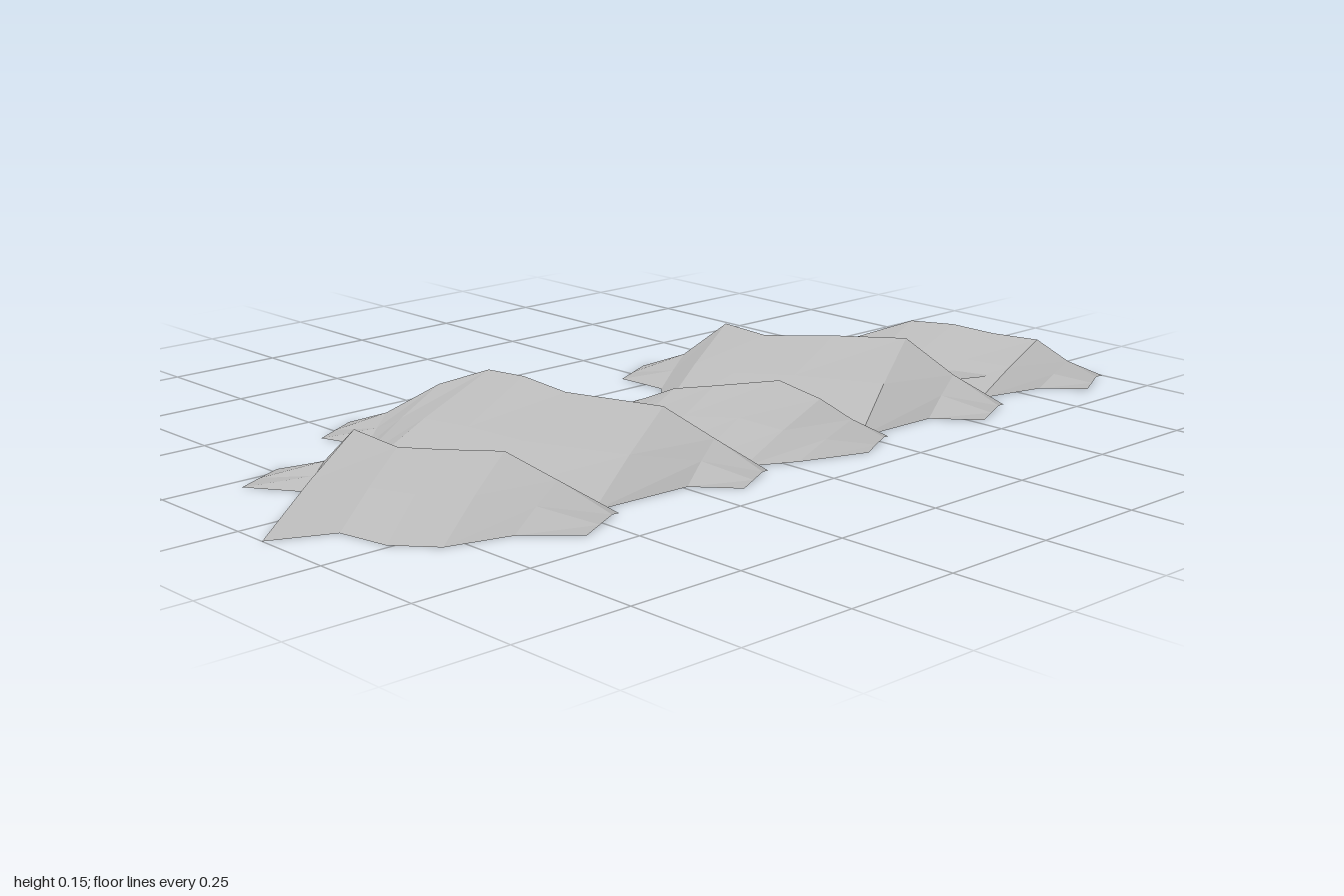
import * as THREE from 'three';

const stone = new THREE.MeshStandardMaterial({ color: 0xb8b8b8, flatShading: true, side: THREE.DoubleSide });
stone.name = 'light grey';

// Open ridge shell; each station is back foot (x, z), crest (x, y, z), front foot (x, z)
function ridge(name, stations) {
  const positions = [], index = [], across = 4;
  for (const [bx, bz, cx, cy, cz, fx, fz] of stations) {
    positions.push(bx, 0, bz, cx, cy, cz);
    // slight belly halfway down the long front slope
    positions.push((cx + fx) / 2, cy * 0.54, (cz + fz) / 2);
    positions.push(fx, 0, fz);
  }
  for (let i = 0; i < stations.length - 1; i++) {
    for (let j = 0; j < across - 1; j++) {
      const a = i * across + j, b = a + 1, c = a + across, d = c + 1;
      index.push(a, b, c, b, d, c);
    }
  }
  const geometry = new THREE.BufferGeometry();
  geometry.setAttribute('position', new THREE.Float32BufferAttribute(positions, 3));
  geometry.setIndex(index);
  const flat = geometry.toNonIndexed();
  flat.computeVertexNormals();
  const mesh = new THREE.Mesh(flat, stone);
  mesh.name = name;
  return mesh;
}

// Flat eight-sided plate hidden under a ridge
function innerPlate(x, z, radius) {
  const geometry = new THREE.CircleGeometry(radius, 8);
  geometry.rotateX(-Math.PI / 2);
  const mesh = new THREE.Mesh(geometry, stone);
  mesh.position.set(x, 0.03, z);
  mesh.name = 'innerPlate';
  return mesh;
}

export function createModel() {
  const group = new THREE.Group();
  group.name = 'rockRidges';

  group.add(ridge('rearRidge', [
    [-0.23, -0.70, -0.22, 0.005, -0.67, -0.17, -0.585],
    [-0.15, -0.755, -0.13, 0.035, -0.70, -0.10, -0.62],
    [-0.08, -0.80, -0.06, 0.065, -0.74, -0.05, -0.59],
    [0.01, -0.89, 0.01, 0.095, -0.785, 0.03, -0.56],
    [0.11, -0.905, 0.11, 0.10, -0.81, 0.11, -0.57],
    [0.19, -0.94, 0.20, 0.09, -0.84, 0.21, -0.645],
    [0.30, -0.955, 0.29, 0.085, -0.88, 0.32, -0.655],
    [0.36, -0.975, 0.345, 0.04, -0.92, 0.355, -0.81],
    [0.38, -1.0, 0.39, 0.005, -0.965, 0.43, -0.88],
  ]));

  group.add(ridge('rearMiddleRidge', [
    [-0.37, -0.325, -0.36, 0.005, -0.305, -0.32, -0.205],
    [-0.28, -0.36, -0.26, 0.045, -0.335, -0.20, -0.21],
    [-0.20, -0.445, -0.18, 0.12, -0.385, -0.065, -0.085],
    [-0.09, -0.475, -0.06, 0.115, -0.385, 0.02, -0.12],
    [0.01, -0.545, 0.07, 0.125, -0.46, 0.12, -0.17],
    [0.19, -0.62, 0.205, 0.13, -0.54, 0.345, -0.245],
    [0.30, -0.61, 0.30, 0.06, -0.585, 0.35, -0.45],
    [0.385, -0.65, 0.395, 0.005, -0.62, 0.435, -0.525],
  ]));

  group.add(ridge('middleRidge', [
    [-0.16, -0.025, -0.15, 0.005, -0.01, -0.12, 0.075],
    [-0.08, -0.115, -0.06, 0.04, -0.03, -0.02, 0.11],
    [0.0, -0.195, 0.02, 0.075, -0.04, 0.03, 0.115],
    [0.11, -0.23, 0.10, 0.09, -0.075, 0.13, 0.125],
    [0.20, -0.22, 0.20, 0.105, -0.16, 0.24, 0.11],
    [0.30, -0.245, 0.29, 0.08, -0.185, 0.33, 0.07],
    [0.34, -0.265, 0.34, 0.04, -0.225, 0.38, -0.03],
    [0.38, -0.29, 0.39, 0.005, -0.265, 0.43, -0.175],
  ]));

  group.add(ridge('frontMiddleRidge', [
    [-0.44, 0.43, -0.43, 0.005, 0.45, -0.385, 0.55],
    [-0.34, 0.41, -0.32, 0.045, 0.435, -0.28, 0.515],
    [-0.27, 0.34, -0.23, 0.11, 0.37, -0.22, 0.57],
    [-0.18, 0.255, -0.14, 0.147, 0.315, -0.13, 0.65],
    [-0.08, 0.215, -0.05, 0.148, 0.30, -0.01, 0.615],
    [0.08, 0.165, 0.04, 0.128, 0.27, 0.12, 0.57],
    [0.19, 0.12, 0.21, 0.115, 0.17, 0.34, 0.465],
    [0.30, 0.10, 0.30, 0.06, 0.12, 0.35, 0.24],
    [0.38, 0.055, 0.39, 0.005, 0.08, 0.43, 0.17],
  ]));

  group.add(ridge('frontRidge', [
    [-0.265, 0.73, -0.255, 0.005, 0.745, -0.215, 0.85],
    [-0.165, 0.655, -0.14, 0.04, 0.715, -0.11, 0.78],
    [-0.08, 0.655, -0.055, 0.118, 0.705, 0.075, 1.0],
    [0.02, 0.635, 0.03, 0.095, 0.67, 0.13, 0.875],
    [0.10, 0.565, 0.12, 0.103, 0.635, 0.24, 0.855],
    [0.18, 0.495, 0.205, 0.103, 0.56, 0.315, 0.79],
    [0.30, 0.485, 0.30, 0.06, 0.515, 0.35, 0.66],
    [0.38, 0.44, 0.39, 0.005, 0.465, 0.435, 0.565],
  ]));

  // Plates under the four rear ridges
  for (const [x, z, r] of [[0.20, -0.71, 0.083], [0.08, -0.33, 0.1], [0.14, 0.0, 0.078], [0.0, 0.335, 0.104]]) {
    group.add(innerPlate(x, z, r));
  }
  return group;
}
